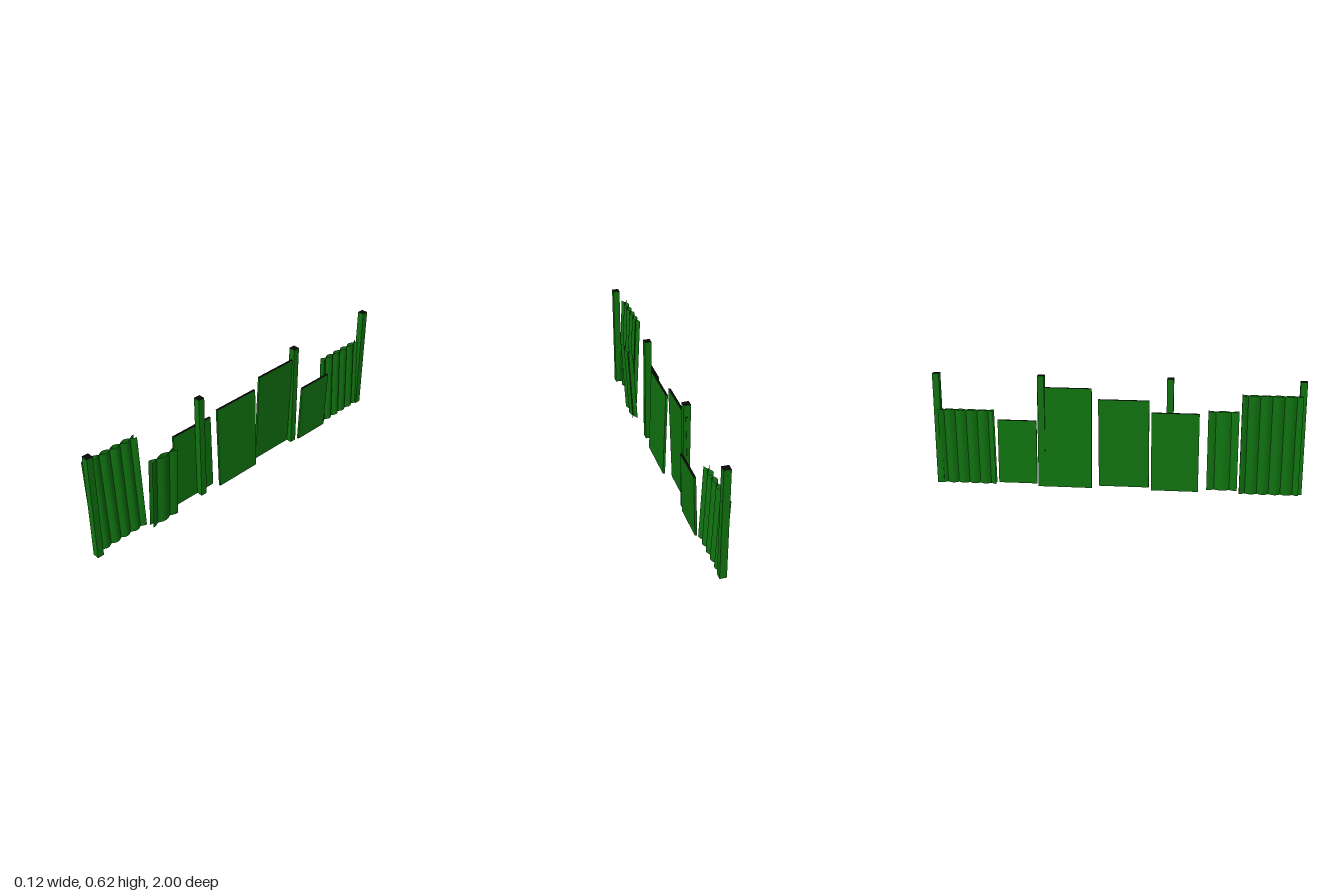
import * as THREE from 'three';

const green = new THREE.MeshStandardMaterial({ color: 0x107310 });
green.name = 'green paint';
const greenSheet = new THREE.MeshStandardMaterial({ color: 0x107310, side: THREE.DoubleSide });
greenSheet.name = 'green sheet metal';
const black = new THREE.MeshStandardMaterial({ color: 0x080808 });
black.name = 'black edge';

// green sides, black top and bottom
const capped = [green, green, black, black, green, green];

// move every vertex sideways in proportion to its height
function lean(geometry, height, bottomX, topX) {
  const p = geometry.attributes.position;
  for (let i = 0; i < p.count; i++) {
    p.setX(i, p.getX(i) + bottomX + (topX - bottomX) * p.getY(i) / height);
  }
  geometry.computeVertexNormals();
  return geometry;
}

function flatPanel({ z0, z1, h, bottom, top }) {
  const g = new THREE.BoxGeometry(0.012, h, z1 - z0);
  g.translate(0, h / 2, (z0 + z1) / 2);
  const mesh = new THREE.Mesh(lean(g, h, bottom, top), capped);
  mesh.name = 'flatPanel';
  return mesh;
}

// two thin waved sheets in opposite phase, crossing between the ridges
function corrugatedPanel({ z0, z1, h, bottom, top, ridges }) {
  const group = new THREE.Group();
  group.name = 'corrugatedPanel';
  for (const side of [1, -1]) {
    const g = new THREE.PlaneGeometry(z1 - z0, h, ridges * 8, 1);
    g.rotateY(side * Math.PI / 2);
    g.translate(0, h / 2, (z0 + z1) / 2);
    const p = g.attributes.position;
    for (let i = 0; i < p.count; i++) {
      const t = (p.getZ(i) - z0) / (z1 - z0);
      p.setX(i, side * 0.0145 * Math.cos(t * ridges * Math.PI));
    }
    const mesh = new THREE.Mesh(lean(g, h, bottom, top), greenSheet);
    mesh.name = 'wavedSheet';
    group.add(mesh);
  }
  return group;
}

export function createModel() {
  const model = new THREE.Group();
  model.name = 'brokenFence';

  // upright posts
  for (const z of [0.982, 0.287, -0.408, -0.982]) {
    const post = new THREE.Mesh(new THREE.BoxGeometry(0.037, 0.622, 0.036), capped);
    post.position.set(0.0015, 0.311, z);
    post.name = 'post';
    model.add(post);
  }

  // leaning corrugated panels
  [
    { z0: 0.665, z1: 0.98, h: 0.553, bottom: -0.0205, top: -0.0475, ridges: 5 },
    { z0: 0.49, z1: 0.655, h: 0.435, bottom: 0.0225, top: 0.046, ridges: 2 },
    { z0: -0.975, z1: -0.67, h: 0.425, bottom: 0.001, top: -0.017, ridges: 5 },
  ].forEach((p) => model.add(corrugatedPanel(p)));

  // leaning flat panels
  [
    { z0: 0.19, z1: 0.445, h: 0.44, bottom: -0.02, top: -0.03 },
    { z0: -0.1, z1: 0.175, h: 0.495, bottom: 0.022, top: 0.007 },
    { z0: -0.43, z1: -0.135, h: 0.555, bottom: -0.018, top: 0.004 },
    { z0: -0.66, z1: -0.445, h: 0.357, bottom: 0.023, top: 0.036 },
  ].forEach((p) => model.add(flatPanel(p)));

  return model;
}
